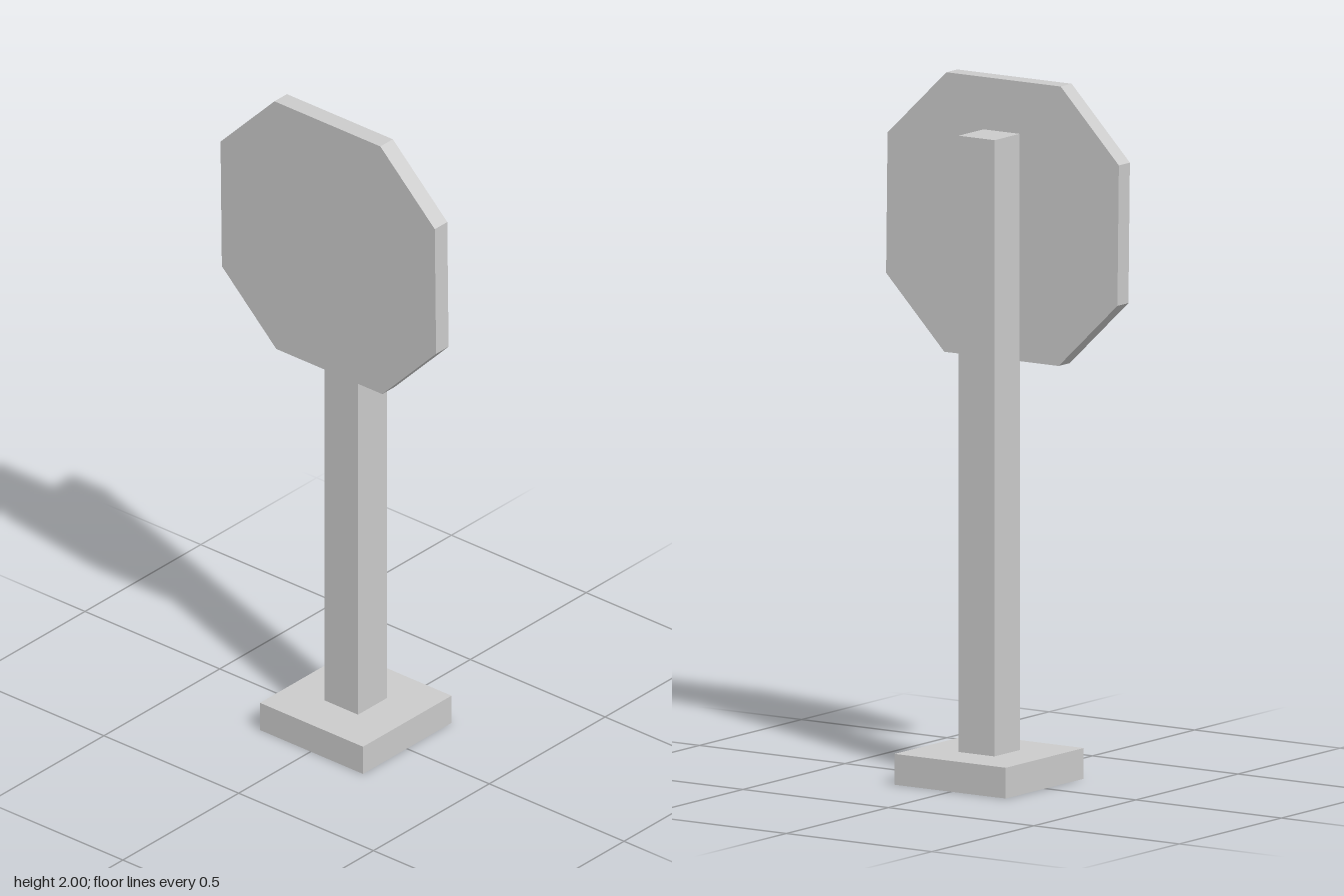
import * as THREE from 'three';

const material = new THREE.MeshStandardMaterial({
  color: 0xcccccc, flatShading: true, side: THREE.DoubleSide,
});

function addPart(group, name, geometry, x, y, z) {
  const mesh = new THREE.Mesh(geometry, material);
  mesh.name = name;
  mesh.position.set(x, y, z);
  group.add(mesh);
  return mesh;
}

// Box without some of its sides (order: +x, -x, +y, -y, +z, -z)
function openBox(w, h, d, missing) {
  const box = new THREE.BoxGeometry(w, h, d);
  const index = Array.from(box.index.array);
  box.setIndex(index.filter((_, i) => !missing.includes(Math.floor(i / 6))));
  box.clearGroups();
  return box;
}

function squarePoints(size) {
  const s = size / 2;
  return [[-s, -s], [s, -s], [s, s], [-s, s]].map(([x, y]) => new THREE.Vector2(x, y));
}

export function createModel() {
  const model = new THREE.Group();
  model.name = 'roadSign';

  const baseSize = 0.382, baseHeight = 0.088;
  const postSize = 0.124, postTop = 1.85;
  const cx = 0.003, cz = -0.002;

  // Hollow base: four walls, open below, and a top pierced by the post
  const base = new THREE.Group();
  base.name = 'base';
  model.add(base);
  addPart(base, 'baseWalls', openBox(baseSize, baseHeight, baseSize, [2, 3]), cx, baseHeight / 2, cz);
  const top = new THREE.Shape(squarePoints(baseSize));
  top.holes.push(new THREE.Path(squarePoints(postSize)));
  addPart(base, 'baseTop', new THREE.ShapeGeometry(top).rotateX(-Math.PI / 2), cx, baseHeight, cz);

  // Hollow square post, closed at the top
  const postHeight = postTop - baseHeight;
  addPart(model, 'post', openBox(postSize, postHeight, postSize, [3]), cx, baseHeight + postHeight / 2, cz);

  // Octagonal plate, turned very slightly; half the corners, repeated by a half turn
  const half = [[0.2, -0.4], [0.4, -0.195], [0.395, 0.207], [0.193, 0.4]];
  const corners = [...half, ...half.map(([x, y]) => [-x, -y])];
  const octagon = new THREE.Shape(corners.map(([x, y]) => new THREE.Vector2(x, y)));
  const plate = new THREE.ExtrudeGeometry(octagon, { depth: 0.054, bevelEnabled: false });
  addPart(model, 'signPlate', plate, 0, 1.6, 0.059);

  return model;
}
